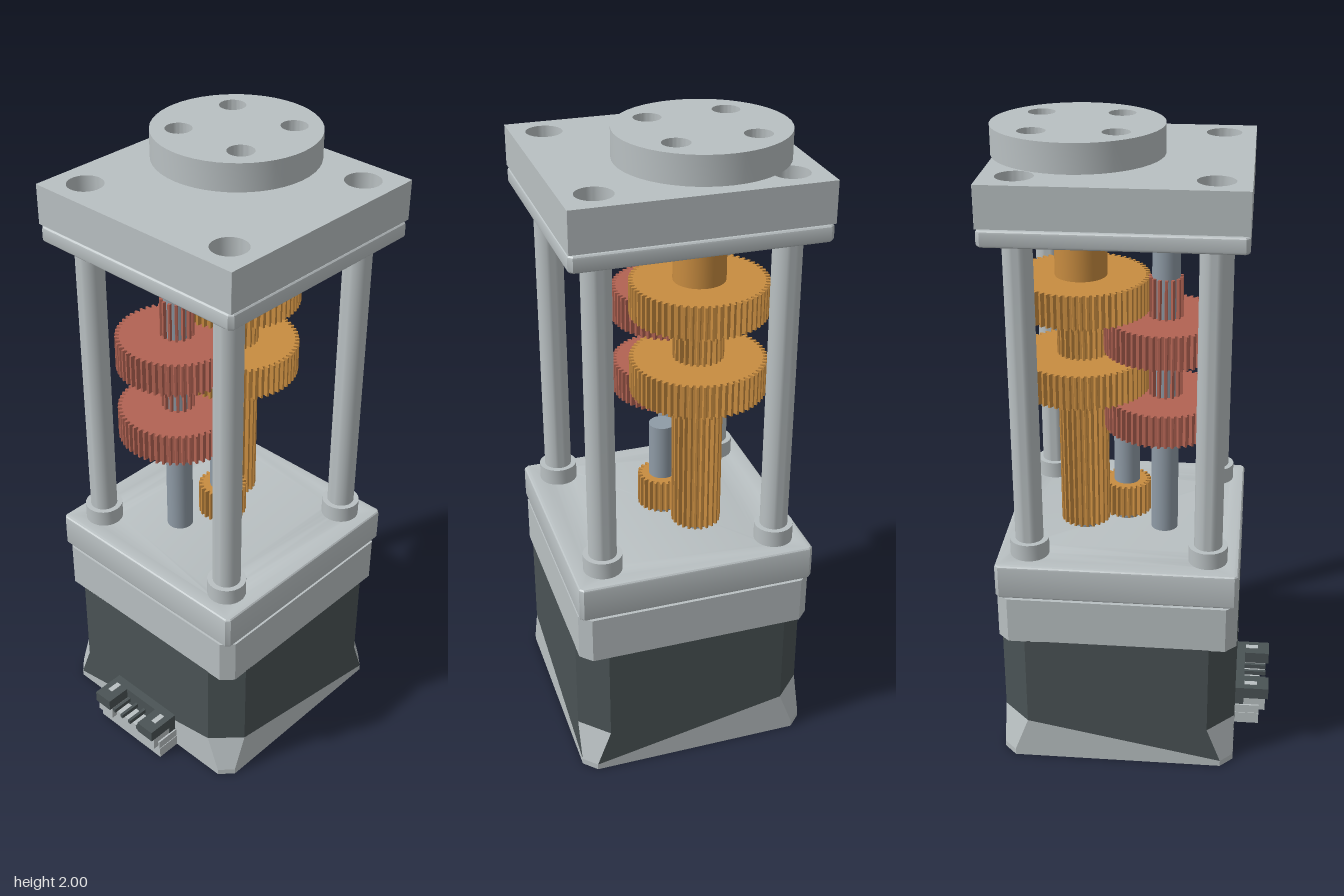
import * as THREE from 'three';
import { toCreasedNormals } from 'three/addons/utils/BufferGeometryUtils.js';

const mat = (name, color) => {
  const m = new THREE.MeshStandardMaterial({ color });
  m.name = name;
  return m;
};

const CX = 0.0525;            // centre of the square stack in x
const W = 0.3725;             // half width of the square stack
const BOLT = 0.275;           // bolt offset from the centre
const MAIN = [0.178, -0.071]; // main gear axis (x, z)
const LAY = [-0.074, -0.071]; // layshaft axis (x, z)
const MOTOR = [CX, 0];        // motor axis (x, z)

export function createModel() {
  const light = mat('light aluminium', 0xb9c0c2);
  const steel = mat('shaft steel', 0x8f9ba6);
  const dark = mat('dark motor shell', 0x4a5355);
  const brass = mat('brass gear', 0xc88c40);
  const red = mat('red gear', 0xb26353);

  const model = new THREE.Group();
  model.name = 'gearedMotor';

  const add = (name, geo, material, x = 0, y = 0, z = 0) => {
    const mesh = new THREE.Mesh(geo, material);
    mesh.name = name;
    mesh.position.set(x, y, z);
    model.add(mesh);
    return mesh;
  };

  // Upright extrusion of a plan outline, from y0 to y1
  const slab = (name, shape, y0, y1, material, [x, z] = MOTOR, bevel = 0) => {
    const g = new THREE.ExtrudeGeometry(shape, {
      depth: y1 - y0 - 2 * bevel, curveSegments: 24, bevelEnabled: bevel > 0,
      bevelThickness: bevel, bevelSize: bevel, bevelOffset: -bevel, bevelSegments: 3,
    });
    g.rotateX(-Math.PI / 2).translate(0, bevel, 0);
    return add(name, toCreasedNormals(g, 0.5), material, x, y0, z);
  };
  const rod = (name, r, y0, y1, material, [x, z]) =>
    add(name, new THREE.CylinderGeometry(r, r, y1 - y0, 32), material, x, (y0 + y1) / 2, z);
  const block = (name, x0, x1, y0, y1, z0, z1, material) =>
    add(name, new THREE.BoxGeometry(x1 - x0, y1 - y0, z1 - z0), material,
      (x0 + x1) / 2, (y0 + y1) / 2, (z0 + z1) / 2);
  const tube = (name, ri, ro, y0, y1, material, [x, z]) => {
    const pts = [[ri, y0], [ro, y0], [ro, y1], [ri, y1], [ri, y0]].map(p => new THREE.Vector2(...p));
    return add(name, toCreasedNormals(new THREE.LatheGeometry(pts, 32), 0.6), material, x, 0, z);
  };

  // Plan outlines
  const octPoints = c => [[-W + c, -W], [W - c, -W], [W, -W + c], [W, W - c],
    [W - c, W], [-W + c, W], [-W, W - c], [-W, -W + c]];
  const hole = (shape, x, y, r) => {
    const p = new THREE.Path();
    p.absarc(x, y, r, 0, Math.PI * 2, true);
    shape.holes.push(p);
  };
  const corners = [[-1, -1], [1, -1], [1, 1], [-1, 1]];
  const plate = (chamfer, boltR) => {
    const s = new THREE.Shape(octPoints(chamfer).map(p => new THREE.Vector2(...p)));
    corners.forEach(([a, b]) => hole(s, a * BOLT, b * BOLT, boltR));
    return s;
  };

  // Motor: bottom cap, dark body, top cap
  const base = plate(0.04, 0.042);
  hole(base, 0, 0, 0.055);
  slab('motorBase', base, 0, 0.02, light);
  tube('baseBearing', 0.053, 0.065, 0.015, 0.15, light, MOTOR);
  slab('motorBody', plate(0.085, 0.038), 0.14, 0.447, dark);
  slab('motorTopCap', plate(0.035, 0.038), 0.445, 0.597, light);

  // Flared lower shell, each side split diagonally between the two colours
  const lo = octPoints(0.04).map(([x, s]) => [x, 0.02, -s]);
  const hi = octPoints(0.085).map(([x, s]) => [x, 0.14, -s]);
  const lightTris = [], darkTris = [];
  for (let i = 0; i < 8; i++) {
    const j = (i + 1) % 8;
    const risesAtStart = i % 4 === 0;
    lightTris.push(...lo[i], ...lo[j], ...(risesAtStart ? hi[i] : hi[j]));
    (i % 2 ? lightTris : darkTris).push(...(risesAtStart ? lo[j] : lo[i]), ...hi[j], ...hi[i]);
  }
  [['lowerShellLight', lightTris, light], ['lowerShellDark', darkTris, dark]].forEach(([n, t, m]) => {
    const g = new THREE.BufferGeometry();
    g.setAttribute('position', new THREE.Float32BufferAttribute(t, 3));
    g.computeVertexNormals();
    add(n, g, m, CX);
  });

  // Mounting plates
  slab('lowerPlate', plate(0.012, 0.04), 0.6, 0.714, light, MOTOR, 0.01);
  slab('upperThinPlate', plate(0.012, 0.04), 1.72, 1.77, light, MOTOR, 0.01);
  slab('topPlate', plate(0.001, 0.054), 1.774, 1.896, light);

  // Hollow columns with feet and recessed washers
  corners.forEach(([a, b]) => {
    const at = [CX + a * BOLT, b * BOLT];
    tube('column', 0.03, 0.043, 0.02, 1.772, light, at);
    tube('columnFoot', 0.04, 0.06, 0.71, 0.768, light, at);
    tube('boltWasher', 0.03, 0.054, 1.77, 1.78, steel, at);
  });

  // Output flange with four holes
  const flange = new THREE.Shape();
  flange.absarc(0, 0, 0.249, 0, Math.PI * 2, false);
  for (let k = 0; k < 4; k++) {
    const a = Math.PI / 4 + 0.03 + k * Math.PI / 2;
    hole(flange, 0.165 * Math.cos(a), 0.165 * Math.sin(a), 0.04);
  }
  slab('outputFlange', flange, 1.915, 2, light, MAIN);
  rod('flangeHub', 0.098, 1.89, 1.917, light, MAIN);
  rod('bearingFace', 0.165, 1.89, 1.898, steel, MAIN);
  rod('bearingCollar', 0.086, 1.69, 1.725, light, MAIN);

  // Shafts
  rod('motorShaft', 0.041, 0.7, 1.02, steel, MOTOR);
  rod('layshaft', 0.042, 0.7, 1.71, steel, LAY);
  rod('mainShaft', 0.04, 0.7, 1.72, steel, MAIN);

  // Gears: trapezoid teeth around a root circle
  const gear = (name, teeth, r, y0, y1, material, at) => {
    const root = r - 0.014, pts = [];
    for (let i = 0; i < teeth; i++) {
      [[0, root], [0.35, root], [0.52, r], [0.83, r]].forEach(([f, rad]) => {
        const a = (i + f) / teeth * Math.PI * 2;
        pts.push(new THREE.Vector2(rad * Math.cos(a), rad * Math.sin(a)));
      });
    }
    slab(name, new THREE.Shape(pts), y0, y1, material, at);
  };
  gear('motorPinion', 24, 0.077, 0.735, 0.84, brass, MOTOR);
  gear('longPinion', 24, 0.077, 0.735, 1.178, brass, MAIN);
  gear('upperPinion', 24, 0.077, 1.3, 1.43, brass, MAIN);
  gear('lowerMainGear', 62, 0.205, 1.2, 1.305, brass, MAIN);
  gear('upperMainGear', 62, 0.205, 1.45, 1.552, brass, MAIN);
  rod('gearHub', 0.078, 1.55, 1.69, brass, MAIN);
  gear('lowerLayGear', 56, 0.187, 1.078, 1.178, red, LAY);
  gear('upperLayGear', 56, 0.187, 1.325, 1.43, red, LAY);
  gear('lowerLayPinion', 14, 0.052, 1.178, 1.325, red, LAY);
  gear('upperLayPinion', 14, 0.052, 1.43, 1.553, red, LAY);

  // Cable connector on the right side of the motor
  block('connectorBracket', -0.4, -0.3, 0, 0.04, -0.142, 0.142, light);
  block('connectorFloor', -0.4, -0.31, 0.04, 0.07, -0.14, 0.14, light);
  block('connectorBack', -0.348, -0.31, 0.07, 0.135, -0.135, 0.135, dark);
  [-1, 1].forEach(s => {
    const span = (a, b) => (s > 0 ? [a, b] : [-b, -a]);
    block('connectorArmBase', -0.42, -0.33, 0.05, 0.095, ...span(0.068, 0.134), light);
    block('connectorArm', -0.43, -0.33, 0.095, 0.135, ...span(0.068, 0.135), dark);
    block('connectorLatch', -0.392, -0.35, 0.13, 0.137, ...span(0.096, 0.114), light);
  });
  [-0.058, -0.021, 0.016, 0.053].forEach(z =>
    block('connectorPin', -0.42, -0.34, 0.085, 0.1, z - 0.005, z + 0.005, dark));

  return model;
}
